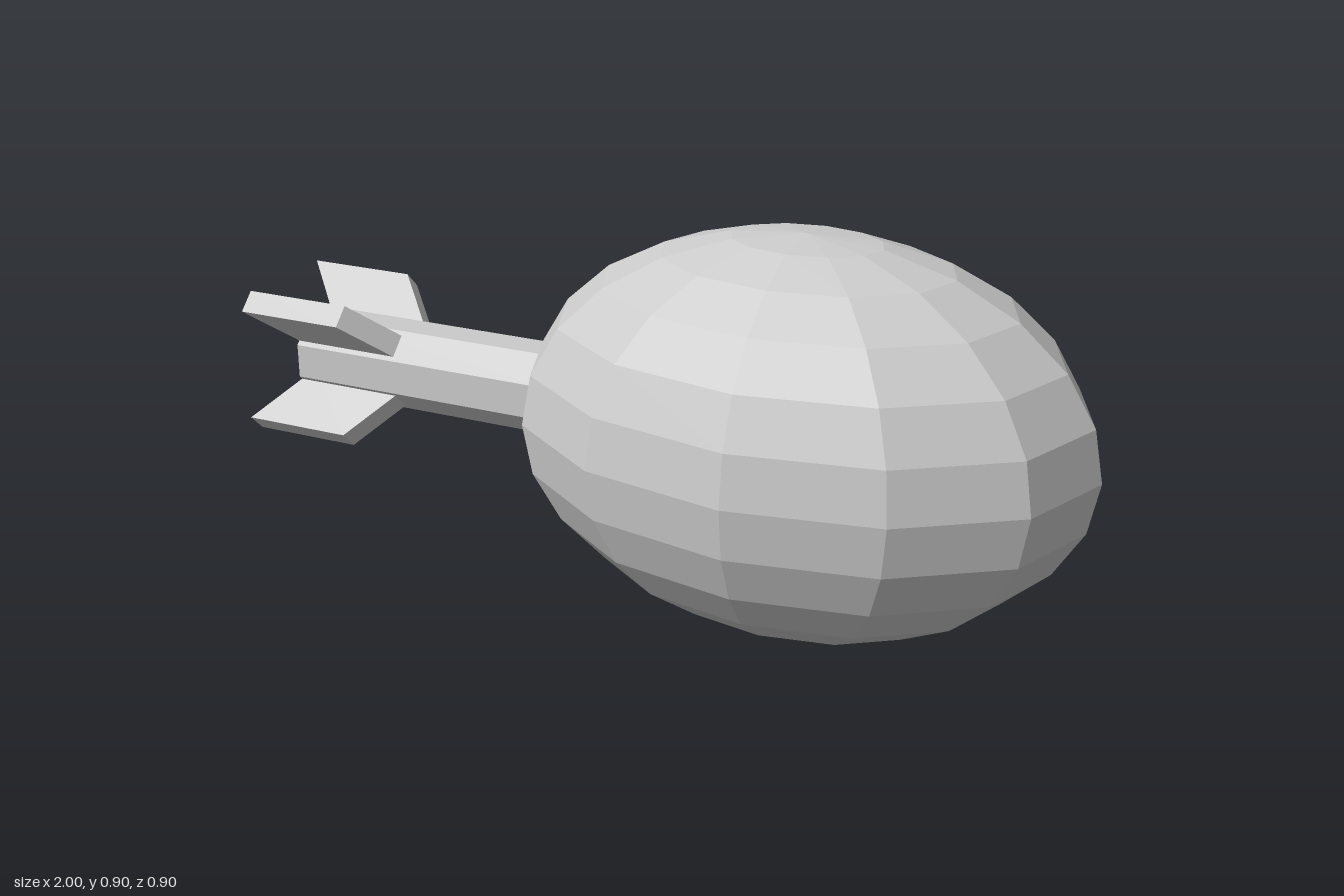
import * as THREE from 'three';

const AXIS_Y = 0.449;

export function createModel() {
  const model = new THREE.Group();
  const material = new THREE.MeshStandardMaterial({ color: 0xcccccc, flatShading: true });

  const add = (name, geometry, parent) => {
    const mesh = new THREE.Mesh(geometry, material);
    mesh.name = name;
    parent.add(mesh);
    return mesh;
  };

  // Faceted egg-shaped body, stretched along x
  const bodyGeometry = new THREE.SphereGeometry(1, 12, 12);
  bodyGeometry.scale(0.655, 0.449, 0.449);
  add('body', bodyGeometry, model).position.set(0.345, AXIS_Y, 0);

  // Octagonal tail tube with flats facing up, down and sideways
  const tubeStart = -0.905, tubeEnd = -0.2;
  const tubeGeometry = new THREE.CylinderGeometry(0.105, 0.105, tubeEnd - tubeStart, 8);
  tubeGeometry.rotateY(Math.PI / 8).rotateZ(Math.PI / 2);
  add('tailTube', tubeGeometry, model).position.set((tubeStart + tubeEnd) / 2, AXIS_Y, 0);

  // Four swept-back fins set on the diagonals
  const thickness = 0.056;
  const finShape = new THREE.Shape([
    new THREE.Vector2(-0.88, 0.065),
    new THREE.Vector2(-0.615, 0.065),
    new THREE.Vector2(-0.735, 0.218),
    new THREE.Vector2(-1, 0.218),
  ]);
  const finGeometry = new THREE.ExtrudeGeometry(finShape, { depth: thickness, bevelEnabled: false });
  finGeometry.translate(0, 0, -thickness / 2);

  const fins = new THREE.Group();
  fins.name = 'tailFins';
  fins.position.y = AXIS_Y;
  for (let i = 0; i < 4; i++) {
    add(`fin${i + 1}`, finGeometry, fins).rotation.x = Math.PI / 4 + (i * Math.PI) / 2;
  }
  model.add(fins);

  return model;
}
